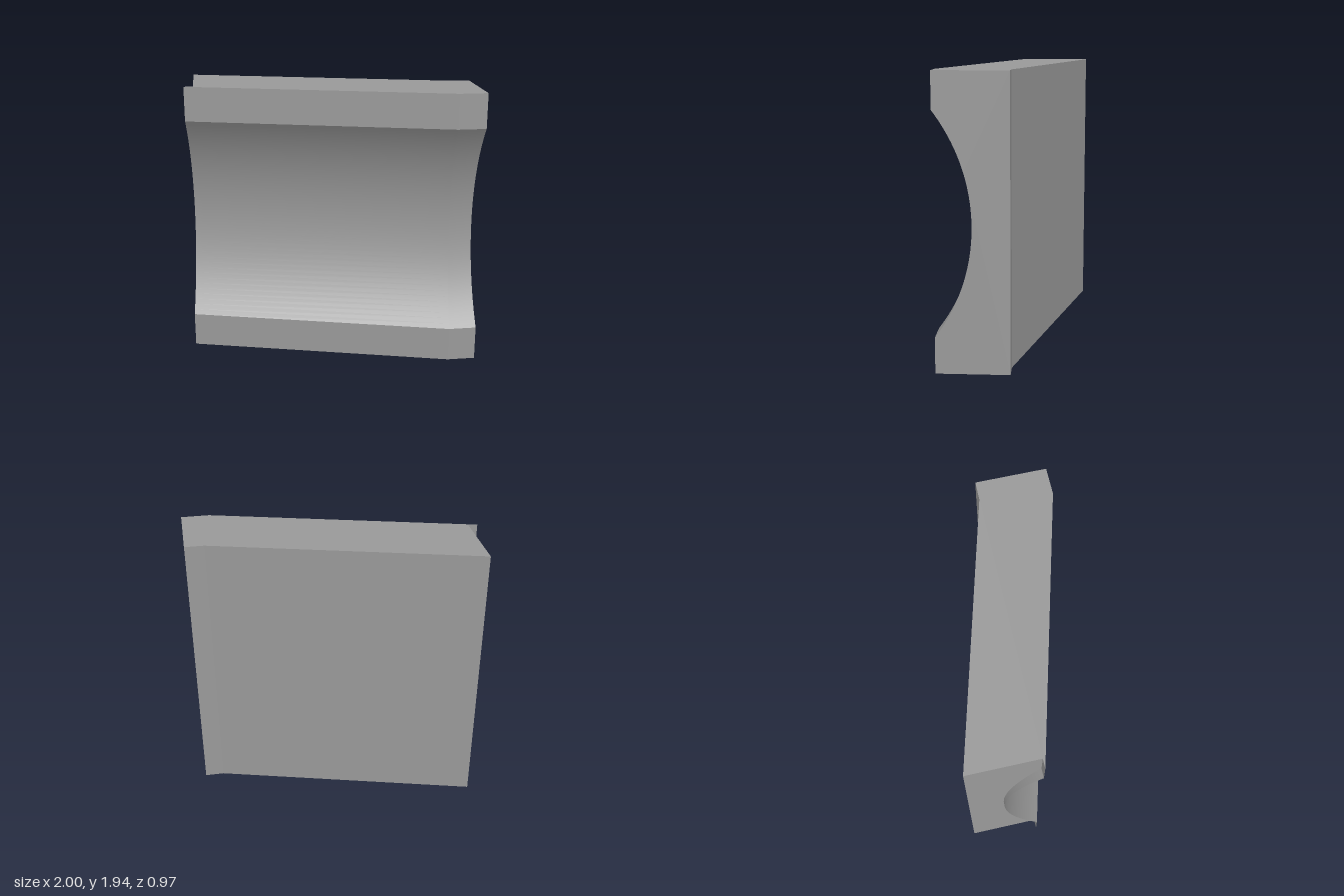
import * as THREE from 'three';
import { toCreasedNormals } from 'three/addons/utils/BufferGeometryUtils.js';

const H = 1.936, DEPTH = 0.485;
const MITRE = Math.tan(Math.PI / 24);   // joints mitred at half the 15 degree turn
const END = -1 + MITRE * DEPTH;

// Position along the wall of a line lying a depth d behind the front face
const returnEnd = (d) => [END, -d];
const mitreEnd = (d) => [-1 + MITRE * d, -d];
const bend = (d) => [0.805 + MITRE * d, DEPTH - d];
const straightEnd = (d) => [1, DEPTH - d];

// Front profile as [depth, height]: two flat bands around a circular cove
function frontProfile() {
  const half = 0.727, sag = 0.243, steps = 40;
  const r = (half * half + sag * sag) / (2 * sag);
  const a = Math.asin(half / r);
  const pts = [[0, 0]];
  for (let i = 0; i <= steps; i++) {
    const t = -a + (2 * a * i) / steps;
    pts.push([Math.max(0, r * Math.cos(t) - (r - sag)), H / 2 + r * Math.sin(t)]);
  }
  pts.push([0, H]);
  return pts;
}

// Sweeps a profile through a list of stations
function sweep(profile, stations) {
  const pos = [], idx = [], n = stations.length;
  profile.forEach(([d, y], i) => stations.forEach((station, j) => {
    const [x, z] = station(d);
    pos.push(x, y, z);
    if (i && j) {
      const c = i * n + j, b = c - n;
      idx.push(b - 1, b, c, b - 1, c, c - 1);
    }
  }));
  const g = new THREE.BufferGeometry();
  g.setAttribute('position', new THREE.Float32BufferAttribute(pos, 3));
  g.setIndex(idx);
  return toCreasedNormals(g, 0.2);
}

const flat = (pts) => new THREE.ShapeGeometry(new THREE.Shape(pts.map(([x, y]) => new THREE.Vector2(x, y))));

export function createModel() {
  const group = new THREE.Group();
  const grey = new THREE.MeshStandardMaterial({ color: 0x999999 });
  const sheet = new THREE.MeshStandardMaterial({ color: 0x999999, side: THREE.DoubleSide });
  const add = (name, geometry, material = grey) => {
    const mesh = new THREE.Mesh(geometry, material);
    mesh.name = name;
    group.add(mesh);
    return mesh;
  };
  const profile = frontProfile();

  // Coved front, and the short return folded behind its mitred edge
  add('covedFront', sweep(profile, [mitreEnd, bend, straightEnd]), sheet);
  add('mitreReturn', sweep(profile, [returnEnd, mitreEnd]), sheet);

  // Plain back
  add('back', sweep([[DEPTH, 0], [DEPTH, H]], [straightEnd, bend, mitreEnd]));

  // Top and bottom
  const plan = [returnEnd(0), mitreEnd(0), bend(0), straightEnd(0), straightEnd(DEPTH), bend(DEPTH), returnEnd(DEPTH)];
  add('top', flat(plan.map(([x, z]) => [x, -z])).rotateX(-Math.PI / 2)).position.y = H;
  add('bottom', flat(plan).rotateX(Math.PI / 2));

  // End faces, cut to the cove
  const outline = [...profile.map(([d, y]) => [-d, y]), [-DEPTH, H], [-DEPTH, 0]];
  add('rightEnd', flat(outline).rotateY(-Math.PI / 2)).position.x = END;
  add('leftEnd', flat(outline.map(([z, y]) => [-z, y])).rotateY(Math.PI / 2)).position.set(1, 0, DEPTH);

  return group;
}
